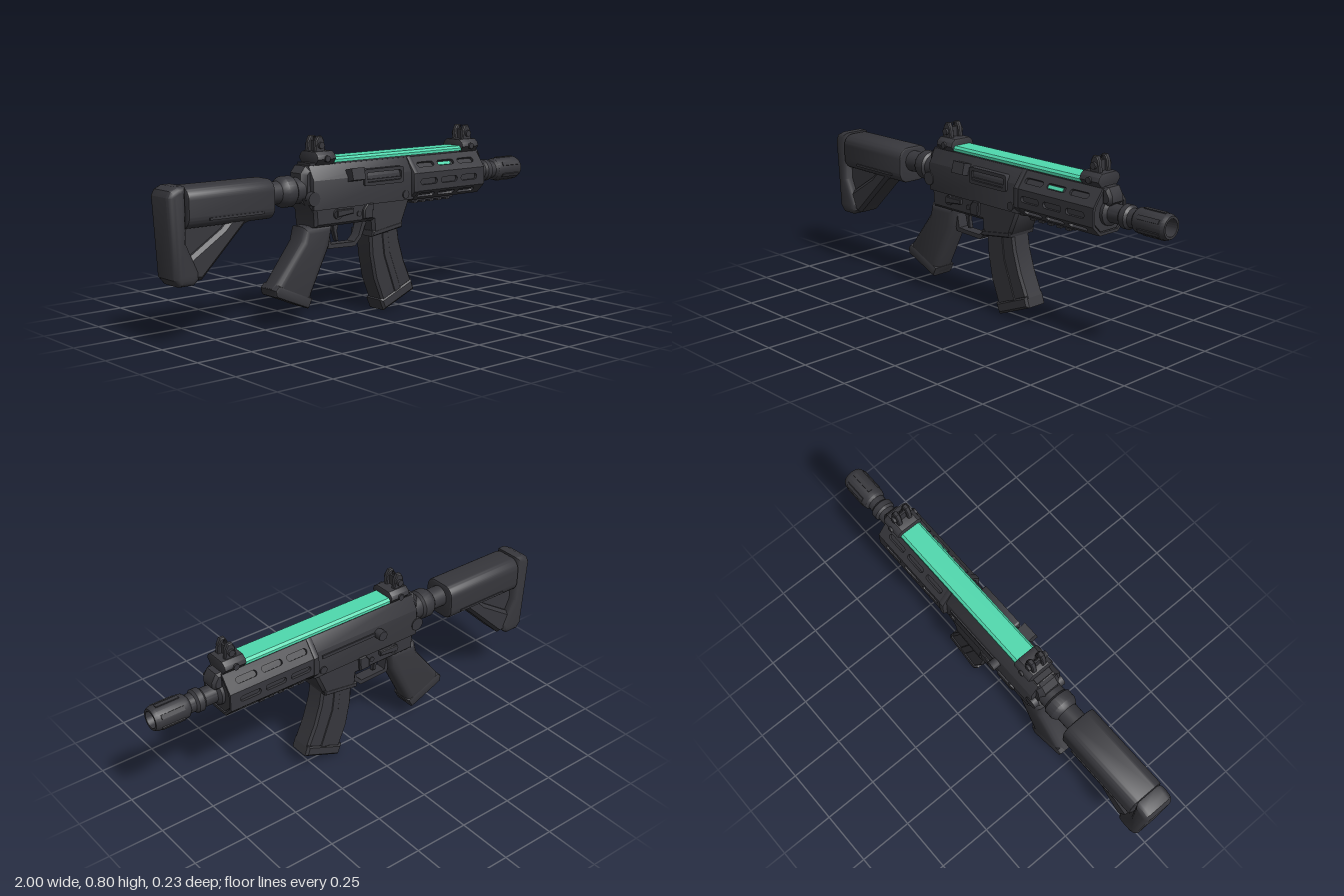
import * as THREE from 'three';
import { toCreasedNormals } from 'three/addons/utils/BufferGeometryUtils.js';

const AXIS = 0.572; // height of the bore line

export function createModel() {
  const model = new THREE.Group();
  const dark = new THREE.MeshStandardMaterial({ color: 0x37373c });
  dark.name = 'charcoal';
  const green = new THREE.MeshStandardMaterial({ color: 0x4fd9ae });
  green.name = 'mint green';

  const add = (name, geo, mat = dark) => {
    const mesh = new THREE.Mesh(geo, mat);
    mesh.name = name;
    model.add(mesh);
    return mesh;
  };
  const shapeOf = (pts) => new THREE.Shape(pts.map((p) => new THREE.Vector2(p[0], p[1])));
  const extrude = (shape, depth, b, segs) => {
    const geo = new THREE.ExtrudeGeometry(shape, {
      depth: depth - 2 * b, bevelEnabled: b > 0, bevelThickness: b, bevelSize: b,
      bevelOffset: -b, bevelSegments: segs, curveSegments: 6,
    });
    geo.translate(0, 0, b);
    return toCreasedNormals(geo, 0.6);
  };
  // side profile in x, y, centred on z
  const slab = (name, pts, width, b = 0, z = 0, segs = 1) =>
    add(name, extrude(shapeOf(pts), width, b, segs).translate(0, 0, z - width / 2));
  // cross-section in z, y, running along x
  const prism = (name, shape, x0, x1, b = 0, mat = dark) =>
    add(name, extrude(shape, x1 - x0, b, 2).rotateY(Math.PI / 2).translate(x0, 0, 0), mat);
  const box = (name, x0, x1, y0, y1, z0, z1, mat = dark) =>
    add(name, new THREE.BoxGeometry(x1 - x0, y1 - y0, z1 - z0)
      .translate((x0 + x1) / 2, (y0 + y1) / 2, (z0 + z1) / 2), mat);
  const roundRect = (x, y, w, h, r, T = THREE.Shape) => {
    const s = new T();
    s.moveTo(x + r, y);
    s.lineTo(x + w - r, y).absarc(x + w - r, y + r, r, -Math.PI / 2, 0);
    s.lineTo(x + w, y + h - r).absarc(x + w - r, y + h - r, r, 0, Math.PI / 2);
    s.lineTo(x + r, y + h).absarc(x + r, y + h - r, r, Math.PI / 2, Math.PI);
    s.lineTo(x, y + r).absarc(x + r, y + r, r, Math.PI, Math.PI * 1.5);
    return s;
  };
  // turned part along x: points are [radius, x]
  const turned = (name, pts) => {
    const geo = new THREE.LatheGeometry(pts.map((p) => new THREE.Vector2(p[0], p[1])), 24);
    return add(name, toCreasedNormals(geo.rotateZ(-Math.PI / 2), 0.5).translate(0, AXIS, 0));
  };
  const knob = (name, x, y, z, r, len, n = 16) =>
    add(name, new THREE.CylinderGeometry(r, r, len, n).rotateX(Math.PI / 2).translate(x, y, z));

  // Stock
  prism('stockBody', roundRect(-0.083, 0.475, 0.166, 0.165, 0.05), -0.915, -0.5, 0.008);
  slab('buttPad', [[-0.998, 0.605], [-0.985, 0.63], [-0.955, 0.645], [-0.917, 0.645], [-0.917, 0.42],
    [-0.862, 0.30], [-0.862, 0.27], [-0.885, 0.25], [-0.95, 0.25], [-0.975, 0.28]], 0.148, 0.025, 0, 3);
  slab('stockStrut', [[-0.93, 0.34], [-0.9, 0.27], [-0.84, 0.265], [-0.63, 0.47], [-0.56, 0.49],
    [-0.70, 0.50], [-0.74, 0.46]], 0.12, 0.015);
  slab('stockWeb', [[-0.93, 0.49], [-0.93, 0.30], [-0.88, 0.29], [-0.68, 0.49]], 0.07);
  for (const s of [-1, 1]) box('stockGroove', -0.82, -0.56, 0.505, 0.515, s * 0.08 - 0.006, s * 0.08 + 0.006);

  // Stock tube and collar
  turned('stockTube', [[0, -0.52], [0.048, -0.52], [0.048, -0.435], [0.058, -0.425], [0.066, -0.41],
    [0.066, -0.37], [0.056, -0.36], [0.056, -0.32], [0, -0.32]]);

  // Upper receiver
  prism('upperReceiver', shapeOf([[-0.08, 0.49], [0.08, 0.49], [0.08, 0.615], [0.045, 0.675],
    [-0.045, 0.675], [-0.08, 0.615]]), -0.3, 0.265, 0.006);
  slab('receiverRear', [[-0.335, 0.53], [-0.29, 0.49], [-0.2, 0.49], [-0.2, 0.675], [-0.31, 0.675],
    [-0.335, 0.645]], 0.11, 0.02);

  // Lower receiver and magazine well
  slab('lowerReceiver', [[-0.335, 0.54], [-0.29, 0.48], [-0.285, 0.415], [0.03, 0.415], [0.035, 0.36],
    [0.05, 0.345], [0.185, 0.37], [0.205, 0.385], [0.25, 0.49], [0.25, 0.52], [-0.28, 0.55]], 0.148, 0.012);
  slab('wellLip', [[0.028, 0.345], [0.2, 0.37], [0.205, 0.395], [0.03, 0.37]], 0.15, 0.005);

  // Controls, ejection port and pins
  const port = roundRect(-0.03, 0.572, 0.225, 0.072, 0.012);
  port.holes.push(roundRect(-0.015, 0.587, 0.195, 0.042, 0.008, THREE.Path));
  add('ejectionPortFrame', extrude(port, 0.03, 0, 1).translate(0, 0, 0.06));
  box('ejectionPortCover', -0.015, 0.18, 0.589, 0.6, 0.07, 0.087);
  const deflector = box('caseDeflector', -0.035, 0.035, -0.026, 0.026, -0.03, 0.03);
  deflector.position.set(-0.08, 0.625, 0.08);
  deflector.rotation.x = -0.25;
  box('chargingSlot', -0.09, 0.22, 0.575, 0.59, -0.086, -0.07);
  knob('chargingKnob', -0.08, 0.582, -0.092, 0.023, 0.048, 8);
  for (const s of [-1, 1]) {
    knob('rearPin', -0.3, 0.54, s * 0.072, 0.03, 0.025);
    knob('frontPin', 0.215, 0.515, s * 0.075, 0.018, 0.02);
    knob('triggerPin', -0.05, 0.455, s * 0.073, 0.012, 0.012);
    knob('selectorHub', -0.17, 0.465, s * 0.075, 0.022, 0.02);
    slab('selectorLever', [[-0.18, 0.452], [-0.09, 0.462], [-0.09, 0.483], [-0.18, 0.482]], 0.018, 0.003, s * 0.08);
    slab('magazineRelease', [[-0.03, 0.43], [0.02, 0.43], [0.025, 0.495], [-0.01, 0.495], [-0.03, 0.47]],
      0.02, 0.004, s * 0.078);
  }

  // Grip
  slab('grip', [[-0.325, 0.42], [-0.17, 0.42], [-0.185, 0.33], [-0.285, 0.13], [-0.295, 0.095],
    [-0.315, 0.075], [-0.475, 0.145], [-0.482, 0.175], [-0.34, 0.36]], 0.11, 0.03, 0, 3);
  slab('gripBase', [[-0.288, 0.115], [-0.31, 0.072], [-0.478, 0.143], [-0.484, 0.172], [-0.465, 0.192]],
    0.116, 0.012, 0, 2);

  // Trigger and guard
  const guard = shapeOf([[-0.21, 0.42], [-0.18, 0.31], [-0.03, 0.305], [0.005, 0.34], [0.04, 0.42]]);
  guard.holes.push(shapeOf([[-0.18, 0.416], [-0.165, 0.328], [-0.035, 0.325], [-0.01, 0.35], [0.015, 0.416]]));
  add('triggerGuard', extrude(guard, 0.05, 0, 1).translate(0, 0, -0.025));
  slab('trigger', [[-0.145, 0.42], [-0.105, 0.42], [-0.118, 0.38], [-0.11, 0.335], [-0.125, 0.335],
    [-0.138, 0.375]], 0.022, 0.003);

  // Magazine
  slab('magazine', [[0.033, 0.40], [0.195, 0.40], [0.21, 0.31], [0.24, 0.215], [0.285, 0.115],
    [0.11, 0.04], [0.065, 0.15], [0.042, 0.26]], 0.1, 0.01);
  slab('magazineRib', [[0.10, 0.37], [0.135, 0.37], [0.15, 0.26], [0.215, 0.09], [0.18, 0.075],
    [0.115, 0.25]], 0.106, 0.003);
  slab('magazineBase', [[0.28, 0.125], [0.297, 0.075], [0.117, 0.001], [0.096, 0.05]], 0.11, 0.01);

  // Handguard: eight slotted panels around a core
  const X0 = 0.262, L = 0.428;
  const ring = [[0.055, 0.482], [0.098, 0.525], [0.098, 0.605], [0.045, 0.675],
    [-0.045, 0.675], [-0.098, 0.605], [-0.098, 0.525], [-0.055, 0.482]];
  ring.forEach((a, i) => {
    const b = ring[(i + 1) % ring.length];
    const dz = b[0] - a[0], dy = b[1] - a[1], w = Math.hypot(dz, dy);
    const panel = shapeOf([[0, 0], [L, 0], [L, w], [0, w]]);
    if (i !== 3) {
      for (const u of [0.03, 0.155, 0.28])
        panel.holes.push(roundRect(u, w / 2 - 0.013, 0.1, 0.026, 0.012, THREE.Path));
    }
    const m = new THREE.Matrix4().makeBasis(new THREE.Vector3(1, 0, 0),
      new THREE.Vector3(0, dy / w, dz / w), new THREE.Vector3(0, -dz / w, dy / w));
    m.setPosition(X0, a[1], a[0]);
    add('handguardPanel', extrude(panel, 0.012, 0, 1).translate(0, 0, -0.012).applyMatrix4(m));
  });
  const scaledRing = (k) => shapeOf(ring.map(([z, y]) => [z * k, 0.578 + (y - 0.578) * k]));
  prism('handguardCore', scaledRing(0.84), X0, X0 + L - 0.004);
  prism('handguardRearBand', scaledRing(1.03), X0 - 0.012, X0 + 0.015, 0.003);
  const liner = box('handguardLiner', -0.05, 0.05, -0.008, 0.008, -0.002, 0.002, green);
  liner.position.set(0.45, 0.635, 0.065);
  liner.rotation.x = -0.65;
  box('lowerRail', 0.285, 0.545, 0.472, 0.488, -0.04, 0.04);
  for (let i = 0; i < 5; i++) box('lowerRailTooth', 0.295 + i * 0.05, 0.32 + i * 0.05, 0.465, 0.474, -0.045, 0.045);

  // Gas block, barrel and muzzle
  slab('gasBlock', [[0.68, 0.605], [0.715, 0.605], [0.73, 0.62], [0.73, 0.645], [0.71, 0.68], [0.68, 0.68]], 0.085, 0.012);
  turned('barrel', [[0, 0.66], [0.056, 0.66], [0.056, 0.7], [0.04, 0.71], [0.04, 0.765], [0.05, 0.775],
    [0.05, 0.8], [0.04, 0.81], [0.04, 0.835], [0.05, 0.845], [0.053, 0.86], [0.053, 0.985], [0.046, 1.0],
    [0.036, 1.0], [0.032, 0.93], [0, 0.93]]);
  for (let i = 0; i < 6; i++) {
    const a = (i * Math.PI) / 3 + 0.52;
    const rib = box('muzzleRib', 0.87, 0.975, -0.006, 0.006, -0.009, 0.009);
    rib.position.set(0, AXIS + 0.05 * Math.sin(a), 0.05 * Math.cos(a));
    rib.rotation.x = Math.PI / 2 - a;
  }

  // Top rail with its mint cover
  box('railBase', -0.29, 0.685, 0.668, 0.686, -0.042, 0.042);
  prism('railCover', shapeOf([[-0.052, 0.682], [0.052, 0.682], [0.052, 0.694], [0.042, 0.704],
    [-0.042, 0.704], [-0.052, 0.694]]), -0.168, 0.585, 0, green);

  // Folding sights
  const clamp = shapeOf([[-0.045, 0.675], [0.045, 0.675], [0.066, 0.7], [0.06, 0.718], [0.042, 0.732],
    [-0.042, 0.732], [-0.06, 0.718], [-0.066, 0.7]]);
  const sight = (prefix, x0, x1, px) => {
    prism(prefix + 'SightBase', clamp, x0, x1, 0.004);
    for (const s of [-1, 1]) {
      knob(prefix + 'SightScrew', (x0 + x1) / 2, 0.702, s * 0.06, 0.014, 0.022, 8);
      slab(prefix + 'SightEar', [[px - 0.028, 0.725], [px + 0.028, 0.725], [px + 0.022, 0.775],
        [px + 0.01, 0.796], [px - 0.01, 0.796], [px - 0.022, 0.775]], 0.022, 0.004, s * 0.026);
      knob(prefix + 'SightPivot', px, 0.757, s * 0.041, 0.015, 0.014, 8);
    }
    box(prefix + 'SightPost', px - 0.01, px + 0.01, 0.73, 0.776, -0.017, 0.017);
    add(prefix + 'SightRing', new THREE.TorusGeometry(0.009, 0.0025, 6, 12)
      .rotateY(Math.PI / 2).translate(px, 0.785, 0));
  };
  sight('rear', -0.265, -0.168, -0.23);
  sight('front', 0.583, 0.685, 0.637);

  return model;
}
